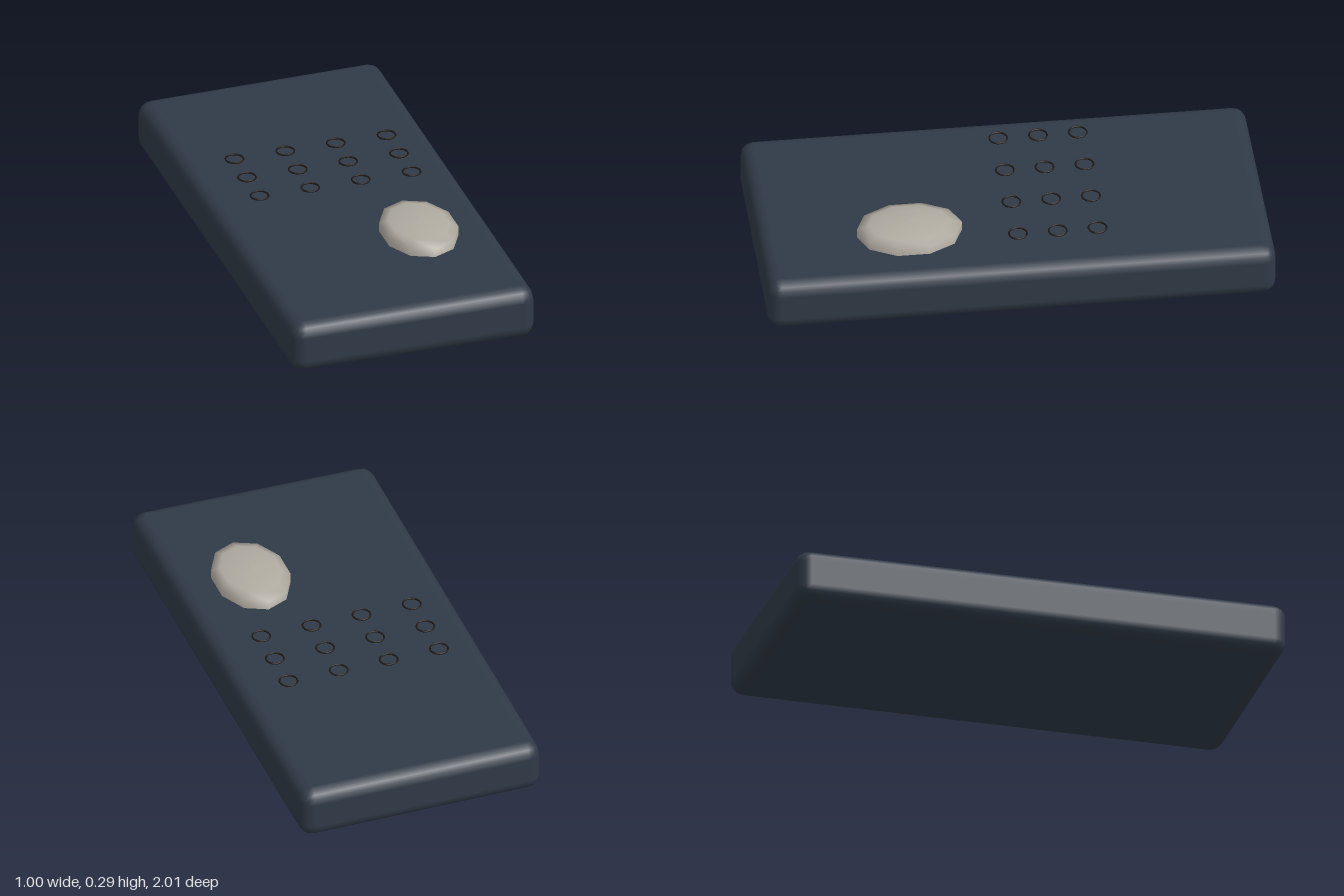
import * as THREE from 'three';
import { RoundedBoxGeometry } from 'three/addons/geometries/RoundedBoxGeometry.js';

const slate = new THREE.MeshStandardMaterial({ color: 0x303a47 });
slate.name = 'slate blue';
const stone = new THREE.MeshStandardMaterial({ color: 0xb0aba1 });
stone.name = 'warm grey';
const dark = new THREE.MeshStandardMaterial({ color: 0x1e1612 });
dark.name = 'dark brown';

function addMesh(parent, name, geometry, material, x = 0, y = 0, z = 0) {
  const mesh = new THREE.Mesh(geometry, material);
  mesh.name = name;
  mesh.position.set(x, y, z);
  parent.add(mesh);
  return mesh;
}

// Slab with bevelled edges; its top and bottom are very slightly out of level
function slabGeometry() {
  const height = 0.214;
  const geometry = new RoundedBoxGeometry(1, height, 2, 2, 0.055);
  const p = geometry.attributes.position;
  for (let i = 0; i < p.count; i++) {
    const x = p.getX(i), z = p.getZ(i);
    const t = p.getY(i) / height + 0.5;
    const bottom = 0.005 + 0.003 * z;
    const top = 0.218 + 0.008 * x + 0.0045 * z;
    p.setXYZ(i, x, bottom + (top - bottom) * t, z + 0.006 * x * z);
  }
  return geometry;
}

export function createModel() {
  const model = new THREE.Group();
  model.name = 'slabWithButtons';

  addMesh(model, 'body', slabGeometry(), slate);

  // Oval ten-sided pad with a low domed top
  const profile = [[1, 0.2], [1, 0.259], [0.78, 0.273], [0.42, 0.284], [0, 0.288]]
    .map(([r, y]) => new THREE.Vector2(r, y));
  const pad = addMesh(model, 'ovalPad', new THREE.LatheGeometry(profile, 10), stone, 0.207, 0, 0.412);
  pad.scale.set(0.15, 1, 0.207);

  // Grid of thin rings hovering above the top face
  const rings = new THREE.Group();
  rings.name = 'buttonRings';
  model.add(rings);
  const ring = new THREE.TorusGeometry(0.0355, 0.0035, 6, 24).rotateX(Math.PI / 2);
  for (const z of [-0.317, -0.16, -0.003]) {
    for (const x of [-0.313, -0.104, 0.104, 0.313]) {
      addMesh(rings, 'buttonRing', ring, dark, x, 0.262, z);
    }
  }

  return model;
}
